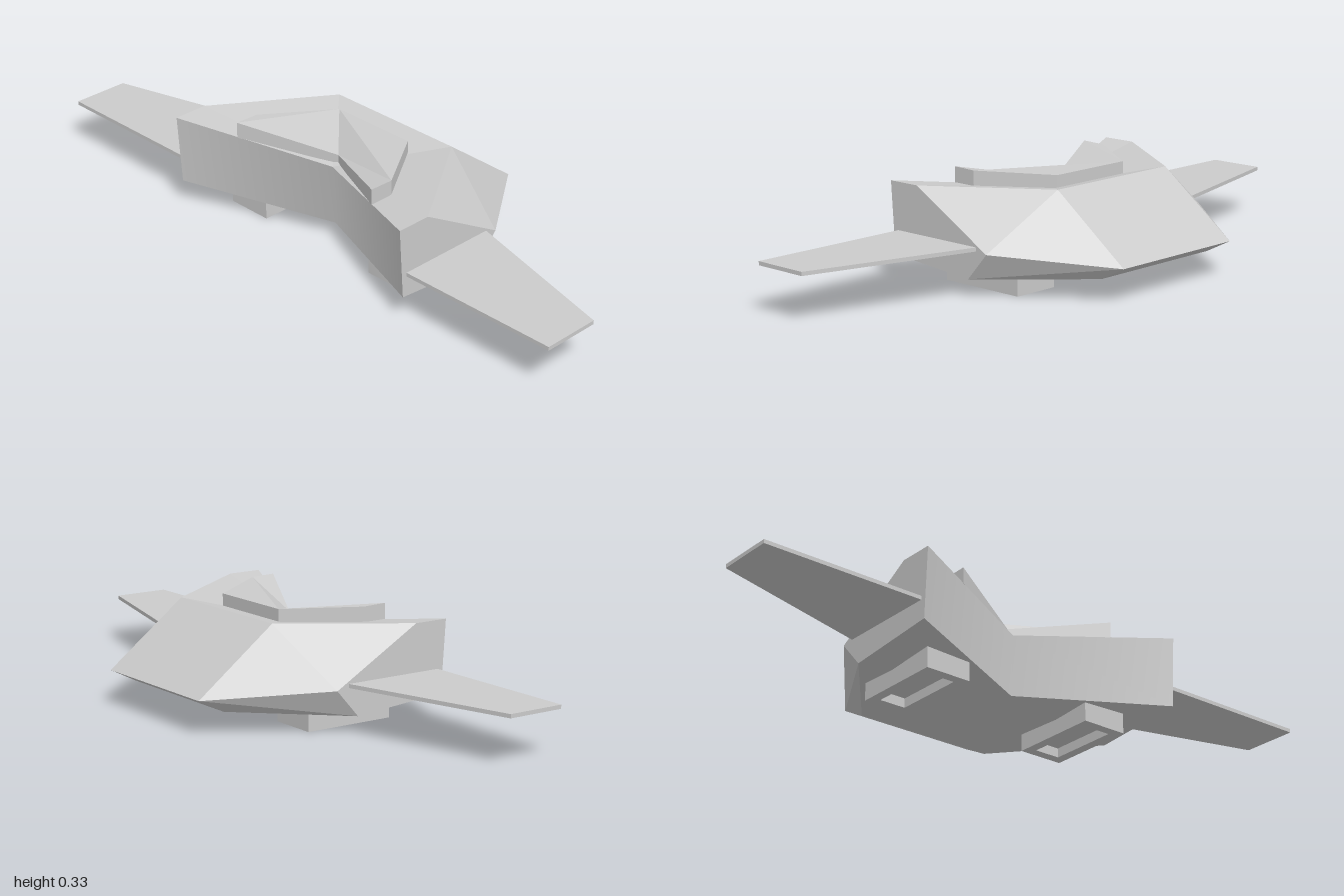
import * as THREE from 'three';
import { mergeVertices } from 'three/addons/utils/BufferGeometryUtils.js';

const material = new THREE.MeshStandardMaterial({ color: 0xcccccc });

function addMesh(parent, name, geometry) {
  const mesh = new THREE.Mesh(geometry, material);
  mesh.name = name;
  parent.add(mesh);
  return mesh;
}

// Horizontal plate from an [x, z] outline, between heights y0 and y1
function slab(outline, y0, y1, hole) {
  const toPoints = (list) => list.map(([x, z]) => new THREE.Vector2(x, z));
  const shape = new THREE.Shape(toPoints(outline));
  if (hole) shape.holes.push(new THREE.Path(toPoints(hole)));
  return new THREE.ExtrudeGeometry(shape, { depth: y1 - y0, bevelEnabled: false })
    .rotateX(Math.PI / 2).translate(0, y1, 0);
}

const rect = (x0, x1, z0, z1) => [[x0, z0], [x1, z0], [x1, z1], [x0, z1]];

// Flat polygons fanned into triangles, each turned away from the centre
function facesGeometry(faces, centre) {
  const positions = [];
  const normal = new THREE.Vector3();
  for (const face of faces) {
    const pts = face.map((p) => new THREE.Vector3(...p));
    for (let i = 1; i < pts.length - 1; i++) {
      const tri = new THREE.Triangle(pts[0], pts[i], pts[i + 1]);
      tri.getNormal(normal);
      const outward = normal.dot(pts[0].clone().sub(centre)) > 0;
      const order = outward ? [tri.a, tri.b, tri.c] : [tri.a, tri.c, tri.b];
      order.forEach((v) => positions.push(v.x, v.y, v.z));
    }
  }
  const geometry = new THREE.BufferGeometry();
  geometry.setAttribute('position', new THREE.Float32BufferAttribute(positions, 3));
  return geometry;
}

export function createModel() {
  const model = new THREE.Group();
  model.name = 'wingedCraft';

  // Hull corners on the +x half
  const deckBack = [0.238, 0.3, -0.1], deckSide = [0.473, 0.3, 0.245];
  const deckFront = [0.473, 0.3, 0.357], notchTop = [0, 0.24, 0.16];
  const tail = [0.238, 0.106, -0.357], sideBack = [0.473, 0.137, -0.04];
  const keelSide = [0.473, 0.053, 0.035], keelBack = [0.238, 0.062, -0.27];
  const keelFront = [0.473, 0.078, 0.343], notchBottom = [0, 0.045, 0.15];

  const flip = ([x, y, z]) => [-x, y, z];
  const mirrored = (faces) => [...faces, ...faces.map((f) => f.map(flip))];
  const across = (p, q) => [p, q, flip(q), flip(p)];
  const centre = new THREE.Vector3(0, 0.17, 0);

  // Faceted hull
  const hull = facesGeometry([
    ...mirrored([
      [deckBack, deckSide, sideBack, tail],
      [tail, sideBack, keelSide, keelBack],
      [deckSide, sideBack, keelSide, keelFront, deckFront],
      [notchTop, deckBack, deckSide],
      [notchTop, deckSide, deckFront],
      [notchBottom, keelFront, keelSide],
      [notchBottom, keelSide, keelBack],
    ]),
    across(deckBack, tail),
    across(tail, keelBack),
    [notchTop, deckBack, flip(deckBack)],
    [notchBottom, keelBack, flip(keelBack)],
  ], centre);
  hull.computeVertexNormals();
  addMesh(model, 'hull', hull);

  // Swept-in front, shaded smoothly across the middle
  const front = mergeVertices(facesGeometry(
    mirrored([[notchTop, deckFront, keelFront, notchBottom]]), centre));
  front.computeVertexNormals();
  addMesh(model, 'hullFront', front);

  // Raised deck plate: rises slightly forward, dips at the notch
  const plate = slab([[-0.145, -0.01], [0.145, -0.01], [0.285, 0.2], [0.285, 0.28],
    [0, 0.135], [-0.285, 0.28], [-0.285, 0.2]], -0.05, 0);
  const pos = plate.attributes.position;
  for (let i = 0; i < pos.count; i++) {
    const atNotch = Math.abs(pos.getX(i)) < 0.01;
    const top = atNotch ? 0.27 : 0.317 + 0.028 * (pos.getZ(i) + 0.01);
    pos.setY(i, pos.getY(i) + top);
  }
  plate.computeVertexNormals();
  addMesh(model, 'deckPlate', plate);

  for (const [side, s] of [['left', 1], ['right', -1]]) {
    // Thin tapered wing
    const wing = [[0.47, 0], [1, 0.145], [1, 0.329], [0.47, 0.329]];
    addMesh(model, side + 'Wing', slab(wing.map(([x, z]) => [s * x, z]), 0.141, 0.153));

    // Landing skid with a recessed underside
    const skid = new THREE.Group();
    skid.name = side + 'Skid';
    skid.position.set(s * 0.297, 0, 0.081);
    addMesh(skid, 'skidFrame', slab(
      rect(-0.076, 0.076, -0.148, 0.148), 0, 0.075, rect(-0.044, 0.044, -0.116, 0.116)));
    addMesh(skid, 'skidRecess', slab(rect(-0.045, 0.045, -0.117, 0.117), 0.03, 0.075));
    model.add(skid);
  }
  return model;
}
